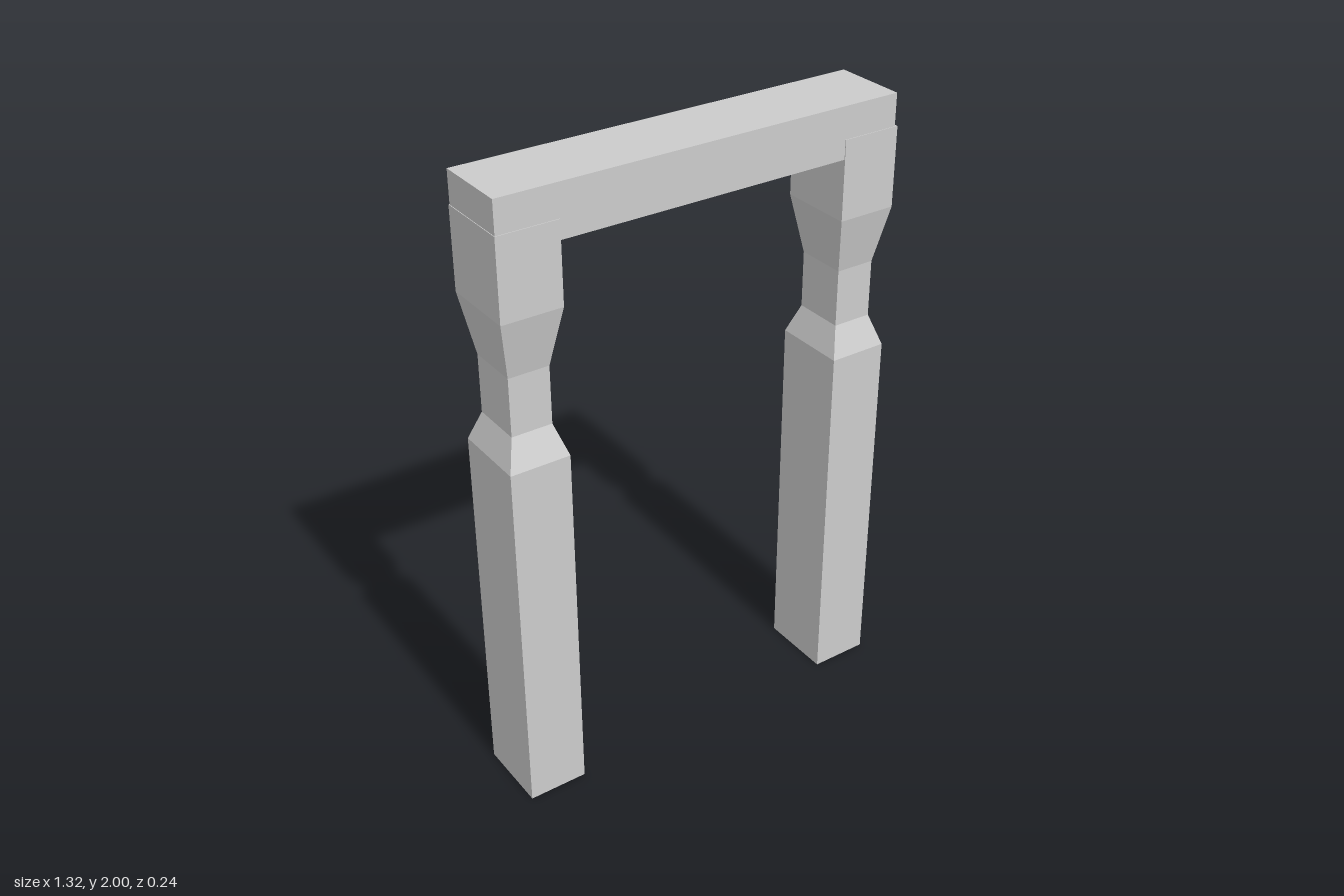
import * as THREE from 'three';

// Post profile, bottom to top: height, half width, half depth
const LEVELS = [
  [0, 0.095, 0.121],
  [1.19, 0.095, 0.121],
  [1.285, 0.064, 0.083],
  [1.467, 0.064, 0.083],
  [1.65, 0.095, 0.121],
  [1.9, 0.095, 0.121],
];

// A box with one height segment per profile step, its rings moved to the profile
function postGeometry() {
  const steps = LEVELS.length - 1;
  const box = new THREE.BoxGeometry(2, steps, 2, 1, steps, 1);
  const pos = box.attributes.position;
  for (let i = 0; i < pos.count; i++) {
    const [y, halfW, halfD] = LEVELS[Math.round(pos.getY(i) + steps / 2)];
    pos.setXYZ(i, pos.getX(i) * halfW, y, pos.getZ(i) * halfD);
  }
  const geometry = box.toNonIndexed();
  geometry.computeVertexNormals();
  return geometry;
}

export function createModel() {
  const group = new THREE.Group();
  group.name = 'gateFrame';
  const material = new THREE.MeshStandardMaterial({ color: 0xcccccc, flatShading: true });

  // Two matching posts with a narrowed neck
  const geometry = postGeometry();
  for (const [name, side] of [['leftPost', 1], ['rightPost', -1]]) {
    const post = new THREE.Mesh(geometry, material);
    post.name = name;
    post.position.x = side * 0.563;
    group.add(post);
  }

  // Lintel let into the post tops, slightly thinner than the posts
  const lintel = new THREE.Mesh(new THREE.BoxGeometry(1.306, 0.16, 0.237), material);
  lintel.name = 'lintel';
  lintel.position.set(-0.003, 1.92, 0);
  group.add(lintel);

  return group;
}
